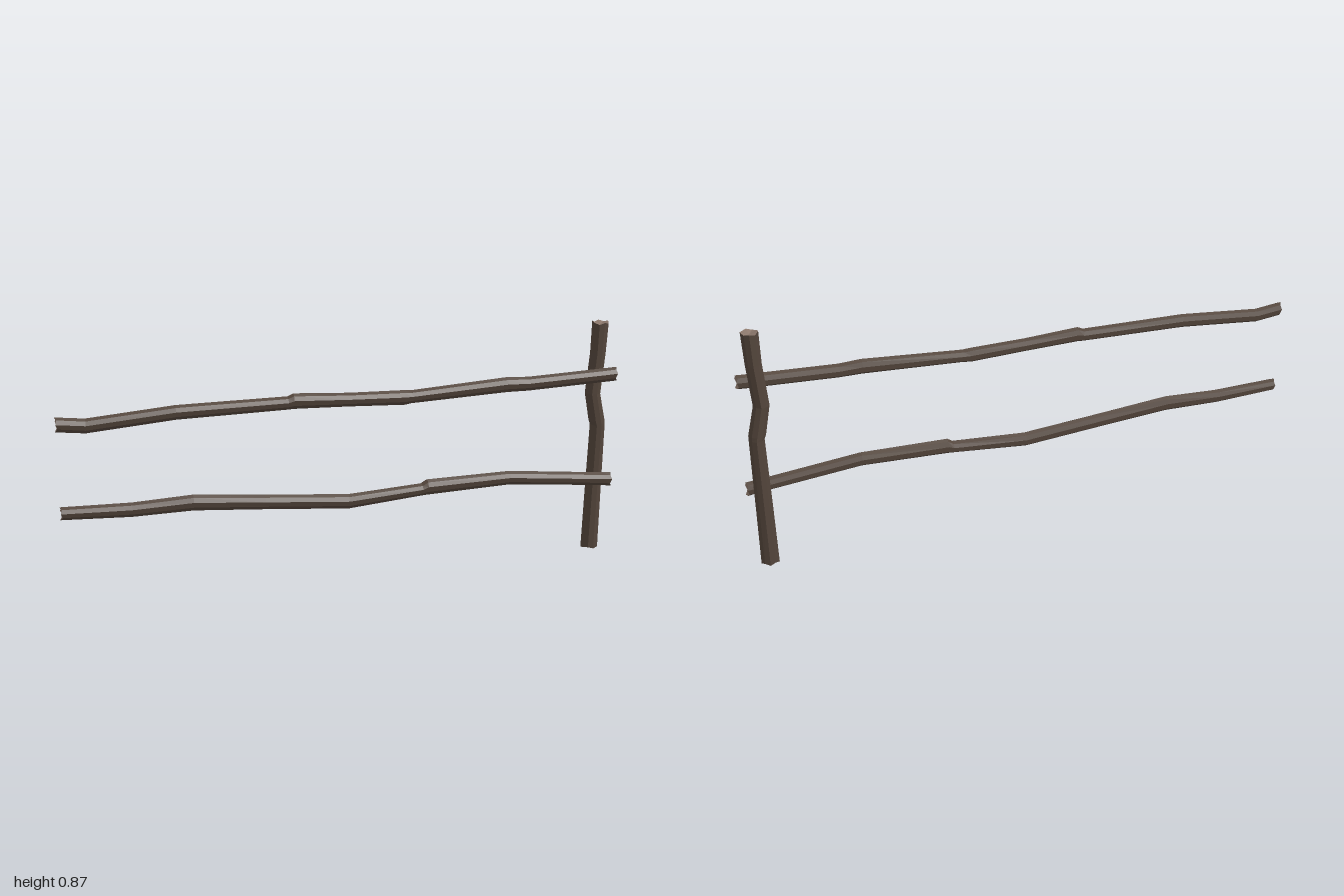
import * as THREE from 'three';

const SIDES = 9;
// slightly uneven outline shared by all logs
const LUMPS = [1, 0.94, 1.03, 0.96, 1.02, 0.94, 1.02, 0.95, 1.02];
// raggedness of the sawn ends, along the log
const RAGGED = [0, 0.006, 0.002, 0.008, 0, 0.005, 0.009, 0.003, 0.007];

// Loft a log through rings [t, offset, radius]; place maps (t, across, depth) to a point
function makeLog(name, rings, depthRadius, place, materials) {
  const last = rings.length - 1;
  const loops = rings.map(([t, offset, radius], i) => LUMPS.map((lump, j) => {
    const a = (j / SIDES) * Math.PI * 2;
    const inset = i === 0 ? RAGGED[j] : i === last ? -RAGGED[j] : 0;
    return place(t + inset, offset + Math.cos(a) * radius * lump, Math.sin(a) * depthRadius * lump);
  }));
  const side = [], ends = [];
  for (let i = 0; i < last; i++) {
    for (let j = 0; j < SIDES; j++) {
      const k = (j + 1) % SIDES;
      const a = loops[i][j], b = loops[i][k], c = loops[i + 1][k], d = loops[i + 1][j];
      side.push(a, b, c, a, c, d);
    }
  }
  // sawn ends, slightly hollow
  const start = place(rings[0][0] + 0.012, rings[0][1], 0);
  const end = place(rings[last][0] - 0.012, rings[last][1], 0);
  for (let j = 0; j < SIDES; j++) {
    const k = (j + 1) % SIDES;
    ends.push(start, loops[0][k], loops[0][j], end, loops[last][j], loops[last][k]);
  }
  const geometry = new THREE.BufferGeometry().setFromPoints([...side, ...ends]);
  geometry.addGroup(0, side.length, 0);
  geometry.addGroup(side.length, ends.length, 1);
  geometry.computeVertexNormals();
  const mesh = new THREE.Mesh(geometry, materials);
  mesh.name = name;
  return mesh;
}

export function createModel() {
  const bark = new THREE.MeshStandardMaterial({ color: 0x53453b, flatShading: true });
  bark.name = 'bark';
  const cutWood = new THREE.MeshStandardMaterial({ color: 0x8c786c, flatShading: true });
  cutWood.name = 'cut wood';

  const group = new THREE.Group();
  group.name = 'fence';
  const rail = (t, across, depth) => new THREE.Vector3(t, across, 0.022 + depth);
  // across is mirrored in x so that the loops keep turning the same way
  const post = (t, across, depth) => new THREE.Vector3(across, t, -0.015 - depth);

  // Rails, as [x, y, radius], with broken knots where two rings lie close together
  group.add(makeLog('upperRail', [
    [-1, 0.631, 0.025], [-0.9, 0.62, 0.025], [-0.6, 0.645, 0.025], [-0.215, 0.651, 0.023],
    [-0.195, 0.656, 0.027], [0, 0.648, 0.024], [0.2, 0.642, 0.026], [0.225, 0.643, 0.023],
    [0.58, 0.663, 0.027], [0.66, 0.661, 0.025], [0.96, 0.674, 0.025], [1, 0.676, 0.025],
  ], 0.022, rail, [bark, cutWood]));
  group.add(makeLog('lowerRail', [
    [-1, 0.322, 0.022], [-0.76, 0.315, 0.025], [-0.55, 0.322, 0.028], [-0.3, 0.302, 0.026],
    [0, 0.278, 0.026], [0.27, 0.299, 0.022], [0.29, 0.306, 0.028], [0.6, 0.315, 0.025],
    [0.96, 0.281, 0.024], [1, 0.277, 0.026],
  ], 0.022, rail, [bark, cutWood]));
  // Post, as [y, x, radius]
  group.add(makeLog('post', [
    [0, 0.946, 0.031], [0.2, 0.949, 0.029], [0.48, 0.954, 0.026], [0.495, 0.951, 0.029],
    [0.6, 0.929, 0.027], [0.75, 0.942, 0.027], [0.865, 0.946, 0.029],
  ], 0.03, post, [bark, cutWood]));
  return group;
}
